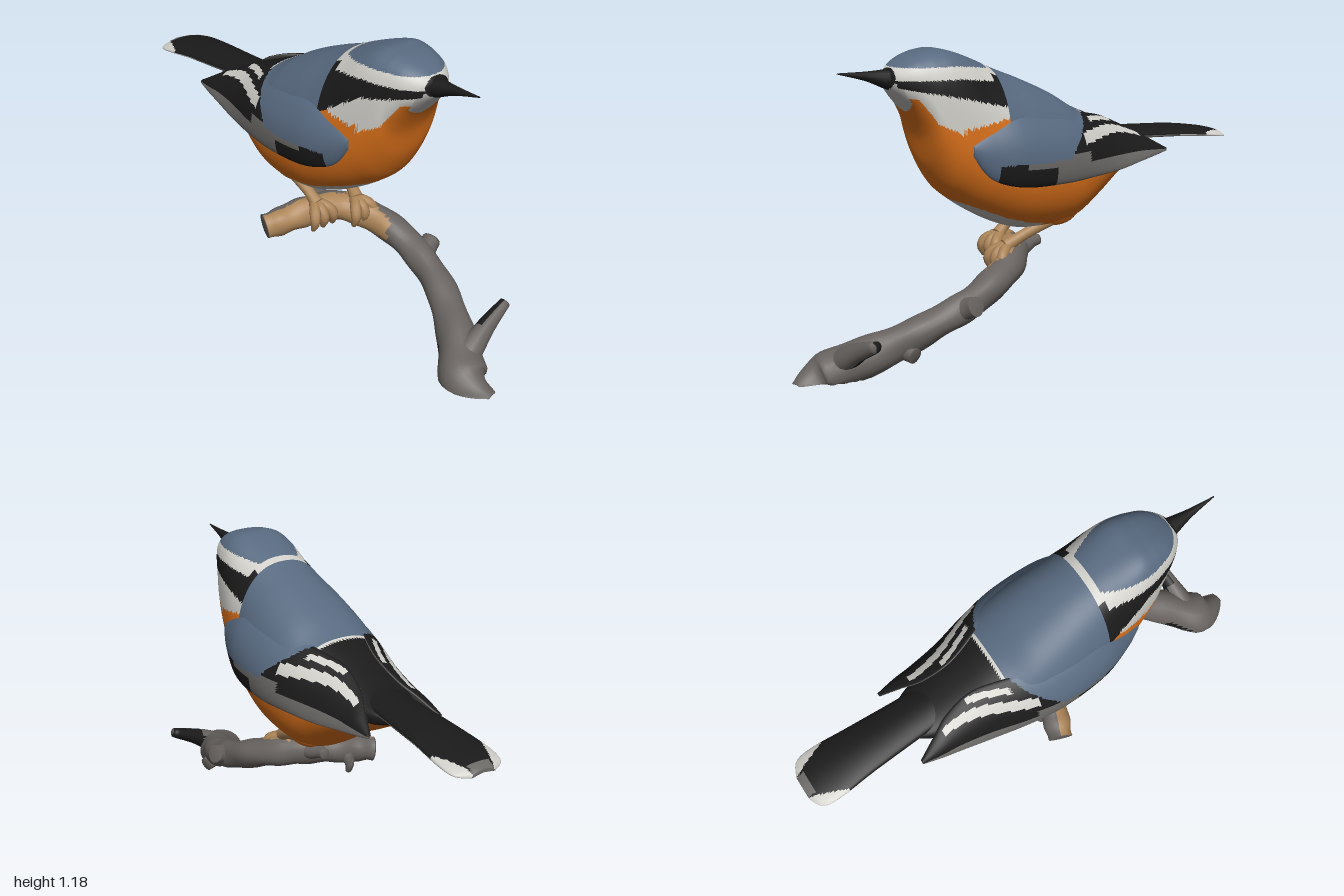
import * as THREE from 'three';

const mat = (name, color) => Object.assign(new THREE.MeshStandardMaterial({ color }), { name });

// Smooth interpolation of a small table of rows into n + 1 rows
function sample(rows, n) {
  const last = rows.length - 1;
  return Array.from({ length: n + 1 }, (_, i) => {
    const f = (i / n) * last, k = Math.min(Math.floor(f), last - 1), t = f - k;
    const row = (j) => rows[Math.max(0, Math.min(last, j))];
    return rows[0].map((_, c) => {
      const a = row(k - 1)[c], b = row(k)[c], d = row(k + 1)[c], e = row(k + 2)[c];
      return b + 0.5 * t * (d - a + t * (2 * a - 5 * b + 4 * d - e + t * (3 * (b - d) + e - a)));
    });
  });
}

// Closed loft; paint(centre, angle, row) picks the material of each face
function loft(name, table, n, m, ring, paint) {
  const rows = sample(table, n), pos = [], faces = [];
  rows.forEach((r, i) => {
    for (let j = 0; j < m; j++) pos.push(new THREE.Vector3(...ring(r, (j / m) * Math.PI * 2, i, rows)));
  });
  for (const i of [0, n]) {
    const c = new THREE.Vector3();
    for (let j = 0; j < m; j++) c.addScaledVector(pos[i * m + j], 1 / m);
    pos.push(c);
  }
  const top = (n + 1) * m;
  for (let j = 0; j < m; j++) {
    const k = (j + 1) % m, ang = ((j + 0.5) / m) * Math.PI * 2;
    faces.push([top, k, j, ang, 0], [top + 1, n * m + j, n * m + k, ang, n]);
    for (let i = 0; i < n; i++) {
      const a = i * m + j, b = i * m + k;
      faces.push([a, b, b + m, ang, i], [a, b + m, a + m, ang, i]);
    }
  }
  // Turn the faces outward by the sign of the volume
  let vol = 0;
  const cross = new THREE.Vector3();
  for (const [a, b, c] of faces) vol += pos[a].dot(cross.crossVectors(pos[b], pos[c]));
  const buckets = new Map();
  for (const [a, b, c, ang, i] of faces) {
    const mid = pos[a].clone().add(pos[b]).add(pos[c]).divideScalar(3);
    const key = paint(mid, ang, rows[i]);
    if (!buckets.has(key)) buckets.set(key, []);
    buckets.get(key).push(...(vol > 0 ? [a, b, c] : [a, c, b]));
  }
  const geo = new THREE.BufferGeometry().setFromPoints(pos), index = [], mats = [];
  for (const [key, list] of buckets) {
    geo.addGroup(index.length, list.length, mats.length);
    mats.push(key);
    for (const v of list) index.push(v);
  }
  geo.setIndex(index);
  geo.computeVertexNormals();
  const mesh = new THREE.Mesh(geo, mats);
  mesh.name = name;
  return mesh;
}

// Round limb along [x, y, z, radius] points, slightly knobbly when bark > 0
function limb(name, pts, paint, n = 16, m = 12, bark = 0) {
  const ref = new THREE.Vector3(0.3, 0.9, 0.35);
  return loft(name, pts, n, m, (r, a, i, rows) => {
    const p = rows[Math.max(0, i - 1)], q = rows[Math.min(n, i + 1)];
    const t = new THREE.Vector3(q[0] - p[0], q[1] - p[1], q[2] - p[2]).normalize();
    const b = new THREE.Vector3().crossVectors(t, ref).normalize();
    const u = new THREE.Vector3().crossVectors(b, t);
    const rad = r[3] * (1 + bark * Math.sin(3 * a + i * 0.45) + bark * Math.sin(i * 0.8));
    const v = new THREE.Vector3(r[0], r[1], r[2])
      .addScaledVector(b, Math.cos(a) * rad).addScaledVector(u, Math.sin(a) * rad);
    return [v.x, Math.max(0, v.y), v.z];
  }, paint);
}

export function createModel() {
  const blue = mat('slateBlue', 0x586a80), black = mat('black', 0x1a1a1a);
  const orange = mat('orange', 0xda701a), white = mat('white', 0xd0cfc9);
  const pale = mat('paleGrey', 0xbab8b4), grey = mat('featherGrey', 0x6c6a67);
  const tan = mat('tan', 0xab8457), bark = mat('bark', 0x686360);
  const bird = new THREE.Group(), perch = new THREE.Group(), model = new THREE.Group();
  bird.name = 'bird';
  perch.name = 'perch';
  model.name = 'birdOnBranch';
  model.add(bird, perch);
  const spow = (v, e) => Math.sign(v) * Math.abs(v) ** e;

  // Head and body: z, top y, bottom y, half width, y of widest point, roundness of the upper half
  const body = [
    [0.625, 1.09, 1.065, 0.01, 1.075, 0.9], [0.612, 1.115, 1.04, 0.055, 1.075, 0.85],
    [0.58, 1.14, 1.0, 0.092, 1.065, 0.8], [0.54, 1.16, 0.95, 0.12, 1.05, 0.75],
    [0.5, 1.172, 0.87, 0.14, 1.0, 0.68], [0.47, 1.177, 0.755, 0.154, 0.95, 0.64],
    [0.42, 1.18, 0.66, 0.17, 0.89, 0.62], [0.36, 1.165, 0.605, 0.187, 0.84, 0.68],
    [0.28, 1.135, 0.55, 0.207, 0.79, 0.82], [0.18, 1.09, 0.495, 0.226, 0.76, 0.88],
    [0.08, 1.05, 0.46, 0.237, 0.74, 0.88], [-0.05, 0.99, 0.447, 0.235, 0.72, 0.86],
    [-0.15, 0.93, 0.468, 0.225, 0.71, 0.86], [-0.25, 0.885, 0.53, 0.2, 0.72, 0.86],
    [-0.35, 0.84, 0.6, 0.165, 0.73, 0.86], [-0.45, 0.8, 0.655, 0.125, 0.74, 0.86],
    [-0.53, 0.78, 0.7, 0.09, 0.745, 0.86], [-0.6, 0.77, 0.735, 0.03, 0.75, 0.86],
  ];
  const plumage = ({ x, y, z }) => {
    const ax = Math.abs(x);
    if (z > 0.02 && y < 0.605 - 0.07 * ((x + 0.015) / 0.14) ** 4 && Math.abs(x + 0.015) < 0.15) return pale;
    if (z < 0.22) {
      if (y < (z < -0.18 ? 0.72 : 0.74)) return orange;
      return z > -0.175 ? blue : z > -0.19 ? white : black;
    }
    // Crown, nape band, brow, eye stripe, chin and cheek
    const crown = 1.125 - 0.14 * Math.max(0, 0.4 - z);
    const stripe = z > 0.41 ? 1.015 + (z - 0.41) * 0.2 : 1.015 - (0.41 - z) * (x < 0 ? 0.6 : 0.25);
    const cheek = z > 0.42 ? 0.89 + (z - 0.42) * 0.5 : 0.89 + (0.42 - z) * 0.2;
    if (z < 0.25 && y > 1.03) return ax < 0.115 ? white : black;
    if ((x / 0.055) ** 2 + ((y - 1.085) / 0.037) ** 2 < 1 && z > 0.5) return black;
    if (y > crown) return blue;
    if (y > crown - 0.045) return white;
    if (y > stripe + (ax < 0.06 ? 0.015 : 0)) return black;
    if (ax < 0.078) return y > 0.96 + 6 * ax * ax ? pale : orange;
    return y > Math.min(1.015, cheek + Math.max(0, 0.14 - ax) * 1.8) ? white : orange;
  };
  bird.add(loft('body', body, 190, 128, ([z, t, b, w, mid, e], a) => {
    const s = Math.sin(a);
    return [w * spow(Math.cos(a), s > 0 ? e : 0.9), mid + (s > 0 ? spow(s, e) * (t - mid) : spow(s, 0.9) * (mid - b)), z];
  }, plumage));

  // Bill
  bird.add(limb('bill', [[0, 1.075, 0.57, 0.045], [0, 1.082, 0.62, 0.036], [0, 1.098, 0.7, 0.017],
    [0, 1.115, 0.81, 0.002]], () => black));

  // Tail: z, centre y, half width, half thickness
  const tail = [[-0.38, 0.79, 0.08, 0.02], [-0.55, 0.775, 0.088, 0.022], [-0.75, 0.76, 0.1, 0.02],
    [-0.9, 0.742, 0.112, 0.015], [-0.97, 0.73, 0.1, 0.011], [-1, 0.723, 0.05, 0.006]];
  bird.add(loft('tail', tail, 60, 64, ([z, y, w, h], a) =>
    [w * Math.cos(a), y + h * spow(Math.sin(a), 0.7) - 0.012 * Math.cos(a) ** 2, z],
  ({ x, z }, a) => {
    const edge = Math.abs(x);
    if (z < -0.965 && edge < 0.045) return grey;
    if (z < -0.86 && edge > 0.103 - (-0.86 - z) * 0.42) return white;
    if (a < Math.PI) return black;
    return z < -0.72 && edge > 0.065 ? pale : grey;
  }));

  // Wings: z, lower outer x and y, upper inner x and y, half thickness
  const wing = [
    [0.37, 0.18, 0.8, 0.17, 0.85, 0.01], [0.3, 0.198, 0.71, 0.16, 0.92, 0.024],
    [0.18, 0.232, 0.67, 0.16, 0.96, 0.032], [0, 0.25, 0.665, 0.15, 0.935, 0.032],
    [-0.15, 0.24, 0.67, 0.115, 0.905, 0.028], [-0.3, 0.215, 0.675, 0.07, 0.87, 0.02],
    [-0.42, 0.195, 0.69, 0.08, 0.815, 0.015], [-0.5, 0.182, 0.7, 0.115, 0.77, 0.012],
    [-0.58, 0.165, 0.71, 0.15, 0.72, 0.006],
  ];
  const wingPaint = ({ y, z }, a) => {
    const t = (1 - Math.cos(a)) / 2;
    if (z > 0.28 || (y > 0.76 && z > -0.02 - (y - 0.77) * 1.07)) return blue;
    if (Math.sin(a) < 0) return grey;
    if (z > 0.05) return t > 0.22 && z < 0.18 ? grey : black;
    if (t < (z > -0.12 ? 0.33 : 0.22)) return grey;
    // Two pale streaks running inward to the rear
    if (z < -0.1 && z > -0.46 && Math.abs(t - 0.54 - (-0.12 - z) * 0.75) < 0.09) return white;
    if (z < -0.18 && z > -0.34 && Math.abs(t - 0.85 - (-0.18 - z) * 0.5) < 0.05) return white;
    return black;
  };
  for (const s of [1, -1]) {
    bird.add(loft(s > 0 ? 'leftWing' : 'rightWing', wing, 100, 80, ([z, xo, yb, xi, yt, th], a) => {
      const t = (1 - Math.cos(a)) / 2, dx = xi - xo, dy = yt - yb, len = Math.hypot(dx, dy);
      const out = th * Math.sin(a) + 0.085 * len * Math.sin(Math.PI * t);
      return [s * (xo + dx * t + (dy / len) * out), yb + dy * t - (dx / len) * out, z];
    }, wingPaint));

    // Thigh feathers
    const thigh = new THREE.Mesh(new THREE.SphereGeometry(1, 24, 16), orange);
    thigh.name = 'thigh';
    thigh.scale.set(0.055, 0.055, 0.1);
    thigh.position.set(s * 0.092, 0.515, -0.07);
    bird.add(thigh);

    // Leg, three front toes and one hind toe gripping the branch
    const [fx, fy, fz] = s > 0 ? [0.06, 0.4, 0.15] : [-0.09, 0.405, 0.08];
    const skin = () => tan;
    bird.add(limb('leg', [[s * 0.1, 0.49, -0.04, 0.028], [(fx + s * 0.1) / 2, 0.44, fz / 2, 0.022],
      [fx, fy, fz, 0.028]], skin));
    for (const k of [-1, 0, 1]) {
      bird.add(limb('toe', [[fx, fy, fz - 0.01, 0.024], [fx + k * 0.035, fy - 0.018, fz + 0.033, 0.022],
        [fx + k * 0.046, fy - 0.052, fz + 0.048, 0.02], [fx + k * 0.048, fy - 0.088, fz + 0.036, 0.01]], skin, 12, 10));
    }
    bird.add(limb('hindToe', [[fx, fy, fz, 0.02], [fx, fy - 0.005, fz - 0.05, 0.017],
      [fx - 0.01, fy - 0.045, fz - 0.1, 0.008]], skin, 10, 10));
  }

  // Branch, cut flat at its foot and tan on the front of its perching end
  const path = [[-0.035, -0.02, 1.0, 0.025], [-0.05, 0.0, 0.88, 0.088], [0.05, 0.085, 0.73, 0.073],
    [0.13, 0.17, 0.55, 0.06], [0.155, 0.24, 0.38, 0.058], [0.12, 0.31, 0.21, 0.06], [0.03, 0.35, 0.09, 0.06],
    [-0.09, 0.348, 0.03, 0.06], [-0.2, 0.33, 0, 0.056], [-0.27, 0.318, -0.025, 0.048]];
  perch.add(limb('branch', path, (p, a, r) => {
    if (p.x < 0.11 && r[0] > -0.268 && p.z < 0.3 && p.z > r[2] - 0.005) return tan;
    return p.z > 0.72 && p.z < 0.86 && p.x < r[0] - 0.03 && p.y > 0.02 && p.y < r[1] + 0.01 ? black : bark;
  }, 80, 24, 0.035));

  // Twigs and knots, the longest one dark behind
  const twigs = [
    [[0.0, 0.06, 0.83, 0.05], [0.1, 0.125, 0.82, 0.038], [0.225, 0.185, 0.81, 0.02]],
    [[0.14, 0.21, 0.43, 0.045], [0.2, 0.24, 0.41, 0.042], [0.238, 0.255, 0.4, 0.036]],
    [[0.09, 0.12, 0.64, 0.04], [0.13, 0.098, 0.63, 0.035], [0.165, 0.088, 0.62, 0.028]],
    [[-0.14, 0.33, -0.02, 0.03], [-0.145, 0.29, -0.04, 0.02], [-0.145, 0.255, -0.03, 0.012]],
    [[0.0, 0.36, 0.04, 0.04], [-0.01, 0.375, -0.02, 0.028], [-0.01, 0.38, -0.06, 0.02]],
  ];
  twigs.forEach((pts, i) => perch.add(limb('twig', pts,
    ({ x, z }, a, r) => (i === 0 && x > 0.08 && z < r[2] + 0.005 ? black : bark), 10, 16, 0.04)));
  return model;
}
